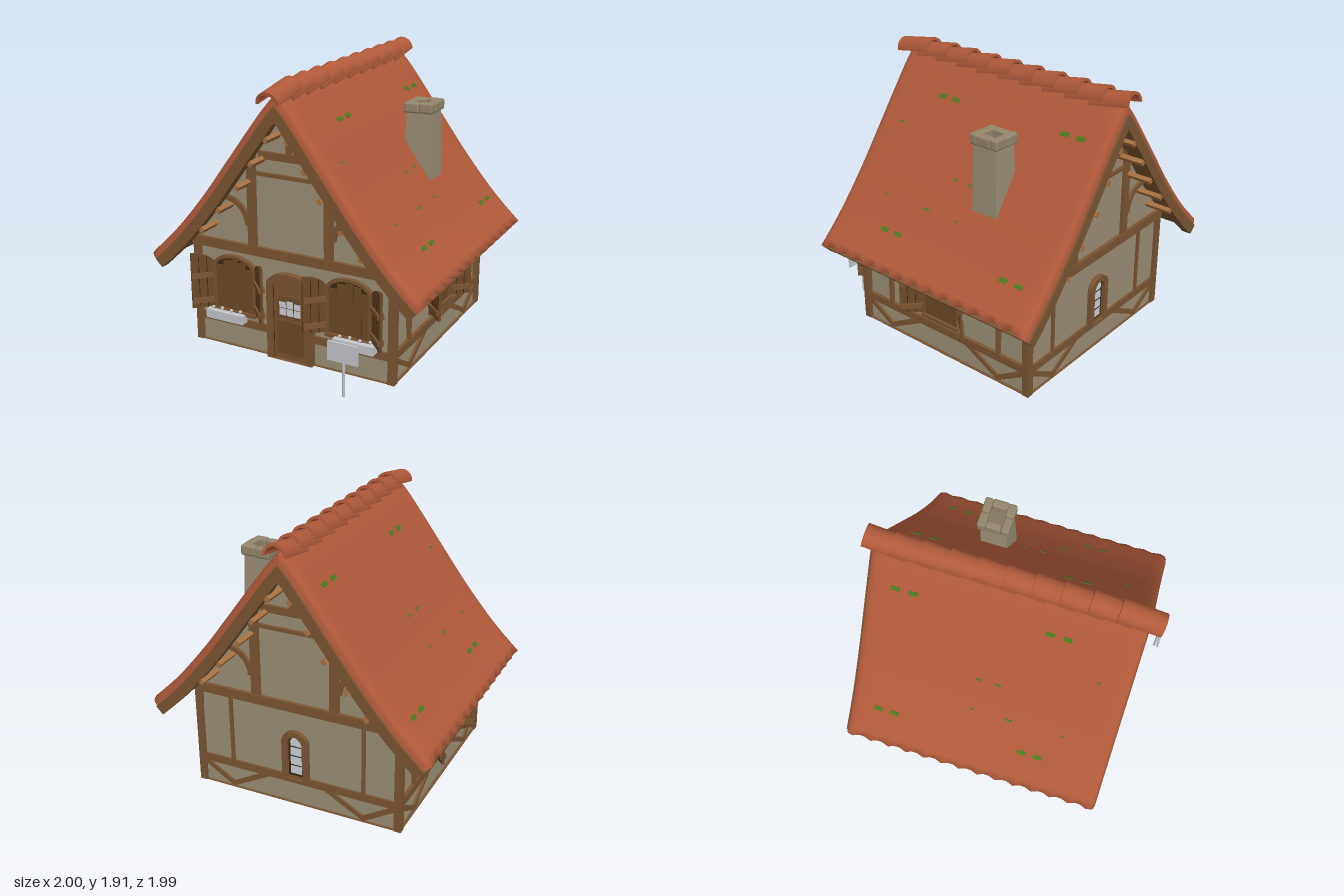
import * as THREE from 'three';
import { RoundedBoxGeometry } from 'three/addons/geometries/RoundedBoxGeometry.js';

const mat = (name, color) => new THREE.MeshStandardMaterial({ name, color });

export function createModel() {
  const house = new THREE.Group();
  house.name = 'cottage';
  const tile = mat('red tile', 0xb05a39), plaster = mat('stone plaster', 0x9a8e76);
  const timber = mat('timber', 0x7a5632), plank = mat('plank', 0x6b4a28), dark = mat('dark gap', 0x3b2814);
  const pegWood = mat('light wood', 0xa8713f), pale = mat('pale grey', 0xc4c6ca);
  const glass = mat('glass', 0xcdd2da), moss = mat('moss', 0x4a7d1c), capStone = mat('cap stone', 0x93866c);
  tile.side = THREE.DoubleSide;
  plaster.side = THREE.DoubleSide;

  const add = (parent, name, geo, m, x = 0, y = 0, z = 0) => {
    const o = new THREE.Mesh(geo, m);
    o.name = name;
    o.position.set(x, y, z);
    parent.add(o);
    return o;
  };
  const sub = (parent, name) => {
    const g = new THREE.Group();
    g.name = name;
    parent.add(g);
    return g;
  };
  const box = (parent, name, m, w, h, d, x, y, z) => add(parent, name, new THREE.BoxGeometry(w, h, d), m, x, y, z);
  const extrude = (shape, depth) => new THREE.ExtrudeGeometry(shape, { depth, bevelEnabled: false, curveSegments: 12 });
  // straight timber between two points of a wall plane
  const beam = (parent, x1, y1, x2, y2, w, d = 0.04, name = 'beam') => {
    const b = box(parent, name, timber, Math.hypot(x2 - x1, y2 - y1), w, d, (x1 + x2) / 2, (y1 + y2) / 2, 0);
    b.rotation.z = Math.atan2(y2 - y1, x2 - x1);
    return b;
  };
  const arch = (w, y0, y1, rise) => {
    const s = new THREE.Shape();
    s.moveTo(-w / 2, y0);
    s.lineTo(w / 2, y0);
    s.lineTo(w / 2, y1 - rise);
    s.absellipse(0, y1 - rise, w / 2, rise, 0, Math.PI, false);
    s.closePath();
    return s;
  };
  const archFrame = (w, y0, y1, rise, t) => {
    const s = arch(w, y0, y1, rise);
    s.holes.push(arch(w - 2 * t, y0 + 0.002, y1 - t, rise - t * 0.3));
    return s;
  };

  // half roof profile, from ridge to eave
  const curve = new THREE.SplineCurve([[0, 1.85], [0.1, 1.74], [0.2, 1.61], [0.4, 1.34], [0.58, 1.1], [0.8, 0.84], [1, 0.645]]
    .map(p => new THREE.Vector2(...p)));
  const N = 20;
  // point on the profile at t, moved inward by d without crossing the ridge line
  const inset = (t, d) => {
    const p = curve.getPoint(t), v = curve.getTangent(t);
    const nx = -v.y, ny = v.x, dx = nx * Math.min(1, p.x / 0.2);
    return new THREE.Vector2(p.x - d * dx, p.y - d * (1 - nx * dx) / ny);
  };
  const profile = d => Array.from({ length: N + 1 }, (_, i) => inset(i / N, d));
  const mirror = pts => pts.map(p => new THREE.Vector2(-p.x, p.y));
  const band = (a, b) => {
    const o = profile(a), i = profile(b);
    return new THREE.Shape([...mirror(o).reverse(), ...o.slice(1), ...i.reverse(), ...mirror(i.slice().reverse()).slice(1)]);
  };

  // house body and floor
  const slope = profile(0.085).filter(p => p.x < 0.73);
  add(house, 'walls', extrude(new THREE.Shape([
    new THREE.Vector2(-0.73, 0.004), new THREE.Vector2(0.73, 0.004),
    ...slope.slice().reverse(), ...mirror(slope.slice(1))]), 1.46), plaster, 0, 0, -0.77);
  box(house, 'floor', timber, 1.5, 0.006, 1.49, 0, 0.003, -0.04);

  // roof deck and bargeboards
  const roof = sub(house, 'roof');
  add(roof, 'roofDeck', extrude(band(0.03, 0.09), 1.77), timber, 0, 0, -0.93);
  for (const z of [0.80, -0.957]) add(roof, 'bargeboard', extrude(band(0.058, 0.13), 0.067), timber, 0, 0, z);

  // tile sheets: rolled gable edges and a zigzag eave with a lip
  const stations = [[0.864, 0.062], [0.861, 0.03], [0.848, 0.012]];
  for (let i = 0; i <= 26; i++) stations.push([0.81 - i * 1.7 / 26, 0, i % 2]);
  stations.push([-0.928, 0.012], [-0.94, 0.03], [-0.945, 0.062]);
  const pos = [], idx = [], cols = N + 2;
  stations.forEach(([z, drop, tooth = 0], r) => {
    for (let c = 0; c < cols; c++) {
      const t = c < N ? c / N : 1 - tooth * 0.026;
      const p = inset(t, c > N ? 0.05 : drop);
      pos.push(p.x, p.y, z);
      if (r && c) {
        const k = r * cols + c, u = k - cols;
        idx.push(u - 1, u, k, u - 1, k, k - 1);
      }
    }
  });
  const sheet = new THREE.BufferGeometry();
  sheet.setAttribute('position', new THREE.Float32BufferAttribute(pos, 3));
  sheet.setIndex(idx);
  sheet.computeVertexNormals();
  // moss spots: x, z, length
  const spots = [[0.65, 0.15, 0.05], [0.5, 0.03, 0.04], [0.5, -0.1, 0.04], [0.65, -0.11, 0.02], [0.65, 0.52, 0.02], [0.35, 0.66, 0.03]];
  for (const x of [0.2, 0.8]) for (const z of [0.4, 0.285, -0.625, -0.745]) spots.push([x, z, 0.06]);
  for (const s of [1, -1]) {
    const half = sub(roof, s > 0 ? 'leftSlope' : 'rightSlope');
    half.scale.x = s;
    add(half, 'tiles', sheet, tile);
    for (const [x, z, l] of spots) {
      let t = 0;
      while (curve.getPoint(t).x < x) t += 0.005;
      const p = curve.getPoint(t), v = curve.getTangent(t);
      box(half, 'moss', moss, l > 0.055 ? 0.03 : 0.012, 0.009, l, p.x, p.y, z).rotation.z = Math.atan2(v.y, v.x);
    }
    // purlins carrying the overhang
    for (const [x, y] of [[0.075, 1.54], [0.19, 1.37], [0.3, 1.2], [0.445, 1.025], [0.58, 0.87]])
      box(half, 'purlin', pegWood, 0.035, 0.03, 1.815, x, y, -0.053).rotation.z = -0.93;
  }
  // overlapping ridge tiles
  const ring = new THREE.Shape();
  ring.absarc(0, 0, 0.08, 0, Math.PI, false);
  ring.absarc(0, 0, 0.06, Math.PI, 0, true);
  const ridgeGeo = extrude(ring, 0.29);
  for (let i = 0; i < 10; i++)
    add(roof, 'ridgeTile', ridgeGeo, tile, 0, 1.835, 0.655 - i * 0.183).rotation.x = 0.17;

  // chimney
  const chimney = sub(house, 'chimney');
  chimney.position.set(0.485, 0, -0.288);
  const shaft = new THREE.CylinderGeometry(0.125, 0.152, 0.65, 4, 1, true).toNonIndexed();
  shaft.rotateY(Math.PI / 4);
  shaft.computeVertexNormals();
  add(chimney, 'shaft', shaft, plaster, 0, 1.235, 0);
  for (const [x, z, w, d] of [[-0.055, -0.08, 0.105, 0.06], [0.052, -0.082, 0.108, 0.056], [-0.05, 0.082, 0.11, 0.058],
    [0.055, 0.08, 0.1, 0.062], [-0.078, 0, 0.056, 0.105], [0.078, 0, 0.06, 0.11]])
    add(chimney, 'capStone', new RoundedBoxGeometry(w, 0.072, d, 2, 0.014), capStone, x, 1.585 + x * 0.05, z);

  // wall faces, each built in its own x-y plane
  const face = (name, x, z, ry) => {
    const g = sub(house, name);
    g.position.set(x, 0, z);
    g.rotation.y = ry;
    return g;
  };
  const front = face('frontWall', 0, 0.69, 0), back = face('backWall', 0, -0.77, Math.PI);
  const sides = [face('leftWall', 0.73, -0.04, Math.PI / 2), face('rightWall', -0.73, -0.04, -Math.PI / 2)];
  for (const x of [-0.73, 0.73]) for (const z of [0.686, -0.766])
    box(house, 'cornerPost', timber, 0.05, 0.76, 0.05, x, 0.38, z);

  // gable framing
  const braceShape = new THREE.Shape();
  braceShape.absarc(0, 0, 0.19, 0, Math.PI * 0.55, false);
  braceShape.absarc(0, 0, 0.155, Math.PI * 0.55, 0, true);
  for (const g of [front, back]) {
    beam(g, -0.76, 0.733, 0.76, 0.733, 0.065, 0.05, 'tieBeam');
    beam(g, -0.26, 1.267, 0.26, 1.267, 0.025);
    beam(g, -0.22, 1.395, 0.22, 1.395, 0.05);
    beam(g, 0, 1.4, 0, 1.69, 0.036, 0.04, 'kingPost');
    for (const s of [1, -1]) {
      const half = sub(g, 'gableHalf');
      half.scale.x = s;
      beam(half, 0.283, 0.76, 0.283, 1.39, 0.064, 0.04, 'gablePost');
      add(half, 'curvedBrace', extrude(braceShape, 0.04), timber, 0.49, 0.9, -0.02).rotation.y = Math.PI;
      half.children[1].position.z = 0.02;
    }
  }
  // lower framing
  for (const s of [1, -1]) beam(front, s * 0.17, 0.188, s * 0.71, 0.188, 0.055, 0.03, 'rail');
  for (const g of [back, ...sides]) {
    beam(g, -0.71, 0.188, 0.71, 0.188, 0.055, 0.03, 'rail');
    for (const s of [1, -1]) {
      beam(g, s * 0.485, 0.2, s * 0.485, 0.72, 0.024, 0.03, 'stud');
      beam(g, s * 0.7, 0.155, s * 0.475, 0.02, 0.034, 0.028, 'brace');
      beam(g, s * 0.22, 0.17, s * 0.495, 0.02, 0.034, 0.026, 'brace');
    }
  }
  for (const g of sides) beam(g, -0.72, 0.66, 0.72, 0.66, 0.09, 0.04, 'wallPlate');

  // planked window with open shutters
  const shutterShape = new THREE.Shape();
  shutterShape.moveTo(0, 0.275);
  shutterShape.lineTo(0.16, 0.275);
  shutterShape.lineTo(0.16, 0.67);
  shutterShape.quadraticCurveTo(0.05, 0.665, 0, 0.6);
  const shuttered = (parent, cx) => {
    const w = sub(parent, 'shutteredWindow');
    w.position.x = cx;
    add(w, 'opening', extrude(arch(0.32, 0.26, 0.665, 0.09), 0.012), dark);
    add(w, 'frame', extrude(archFrame(0.33, 0.25, 0.67, 0.09, 0.02), 0.03), timber);
    for (let i = -2; i <= 2; i++)
      box(w, 'plank', plank, 0.052, 0.365 - i * i * 0.013, 0.012, i * 0.058, 0.27 + (0.365 - i * i * 0.013) / 2, 0.016);
    box(w, 'sill', timber, 0.33, 0.025, 0.04, 0, 0.262, 0.02);
    for (const s of [1, -1]) {
      const half = sub(w, 'shutterSide');
      half.scale.x = s;
      const sh = sub(half, 'shutter');
      sh.position.set(0.165, 0, 0.015);
      sh.rotation.y = -Math.PI / 4;
      add(sh, 'leaf', extrude(shutterShape, 0.018), plank, 0, 0, -0.009);
      for (const y of [0.33, 0.51]) box(sh, 'batten', timber, 0.145, 0.035, 0.045, 0.085, y, 0);
      for (const x of [0.053, 0.107]) box(sh, 'groove', dark, 0.005, 0.36, 0.021, x, 0.46, 0);
    }
    return w;
  };
  for (const g of sides) shuttered(g, 0);
  for (const s of [-1, 1]) {
    const w = shuttered(front, s * 0.43);
    // flower box
    box(w, 'flowerBox', pale, 0.29, 0.06, 0.06, s * 0.055, 0.236, 0.05);
    for (let i = 0; i < 4; i++)
      add(w, 'flower', new THREE.IcosahedronGeometry(0.013, 0), pale, s * 0.055 - 0.105 + i * 0.072, 0.278 + (i % 2) * 0.006, 0.05);
  }

  // front door
  const door = sub(front, 'door');
  add(door, 'doorFrame', extrude(archFrame(0.34, 0, 0.62, 0.09, 0.042), 0.045), timber);
  add(door, 'doorLeaf', extrude(arch(0.26, 0, 0.58, 0.07), 0.022), timber);
  add(door, 'doorPanel', extrude(arch(0.2, 0.04, 0.28, 0.01), 0.027), plank);
  add(door, 'doorWindowFrame', extrude(arch(0.2, 0.3, 0.455, 0.04), 0.026), plank);
  for (let c = -1; c <= 1; c++) {
    box(door, 'pane', glass, 0.048, 0.048, 0.006, c * 0.056, 0.347, 0.026);
    box(door, 'pane', glass, 0.048, c ? 0.04 : 0.05, 0.006, c * 0.056, c ? 0.397 : 0.402, 0.026);
  }
  for (const x of [-0.127, 0.127]) box(door, 'doorGap', dark, 0.006, 0.53, 0.004, x, 0.265, 0.022);

  // narrow arched back window
  const rear = sub(back, 'backWindow');
  add(rear, 'frame', extrude(archFrame(0.19, 0.2, 0.56, 0.085, 0.038), 0.035), timber);
  add(rear, 'recess', extrude(arch(0.13, 0.21, 0.54, 0.06), 0.008), dark);
  add(rear, 'glass', extrude(arch(0.08, 0.235, 0.51, 0.04), 0.006), glass, 0, 0, 0.006);
  for (const y of [0.3, 0.37, 0.44]) box(rear, 'glazingBar', dark, 0.08, 0.006, 0.004, 0, y, 0.013);

  // signpost
  const sign = sub(house, 'signpost');
  add(sign, 'pole', new THREE.CylinderGeometry(0.009, 0.009, 0.36, 8), pale, 0.53, 0.18, 0.972);
  box(sign, 'board', pale, 0.21, 0.13, 0.014, 0.533, 0.307, 0.988);
  return house;
}
